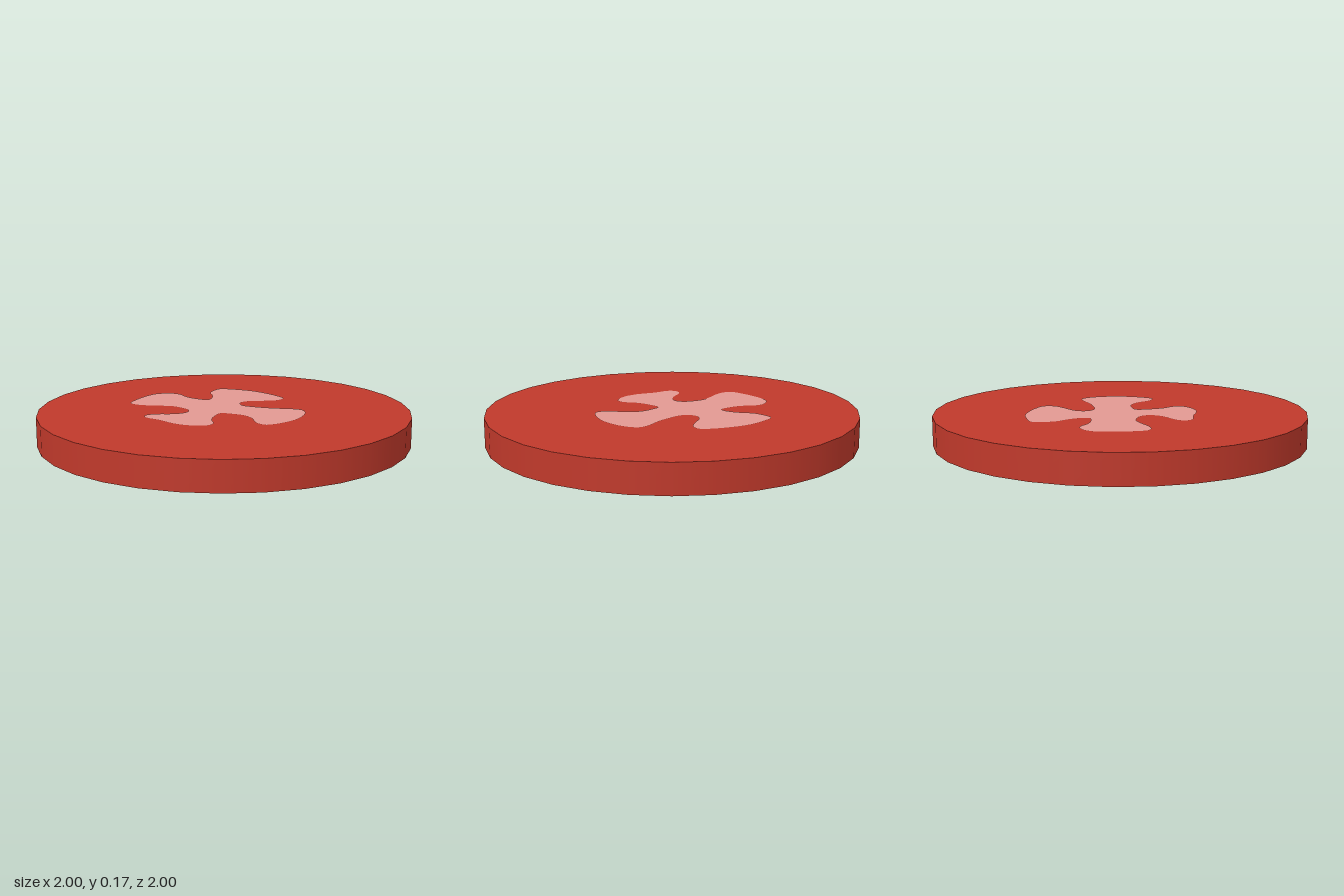
import * as THREE from 'three';

const SIDES = 32, HEIGHT = 0.165, GAP = 0.002;

// Emblem outline as x, z pairs seen from above, one line per arm
const OUTLINE = [
  -0.21, -0.46, -0.19, -0.52, -0.1, -0.53, 0, -0.52, 0.1, -0.48, 0.18, -0.43, 0.235, -0.375, 0.22, -0.32, 0.155, -0.28, 0.06, -0.235, 0.035, -0.18,
  0.065, -0.13, 0.14, -0.115, 0.25, -0.115, 0.34, -0.13, 0.405, -0.12, 0.44, -0.05, 0.435, 0.085, 0.395, 0.18, 0.33, 0.26, 0.295, 0.27, 0.245, 0.235, 0.2, 0.15, 0.14, 0.1, 0.065, 0.085,
  0.01, 0.09, 0, 0.165, 0.01, 0.245, 0.045, 0.32, 0.03, 0.37, -0.06, 0.4, -0.15, 0.385, -0.245, 0.335, -0.34, 0.3, -0.355, 0.25, -0.315, 0.21, -0.22, 0.175, -0.17, 0.12,
  -0.18, 0.07, -0.225, 0.035, -0.29, 0.01, -0.35, 0.015, -0.475, 0.035, -0.54, 0.01, -0.55, -0.05, -0.525, -0.21, -0.49, -0.28, -0.415, -0.315, -0.36, -0.3, -0.3, -0.245, -0.225, -0.215,
  -0.165, -0.21, -0.155, -0.245, -0.17, -0.315, -0.21, -0.395,
];

function emblemGeometry() {
  const points = [];
  for (let i = 0; i < OUTLINE.length; i += 2) {
    points.push(new THREE.Vector3(OUTLINE[i], -OUTLINE[i + 1], 0));
  }
  const curve = new THREE.CatmullRomCurve3(points, true);
  const smooth = curve.getPoints(points.length * 3).slice(0, -1);
  const shape = new THREE.Shape(smooth.map((p) => new THREE.Vector2(p.x, p.y)));
  return new THREE.ShapeGeometry(shape).rotateX(-Math.PI / 2);
}

export function createModel() {
  const group = new THREE.Group();
  const red = new THREE.MeshStandardMaterial({ color: 0xc0392b });
  red.name = 'red';
  const pink = new THREE.MeshStandardMaterial({ color: 0xe29992 });
  pink.name = 'pink';

  // Disc with a flat side facing each axis
  const radius = 1 / Math.cos(Math.PI / SIDES);
  const disc = new THREE.Mesh(
    new THREE.CylinderGeometry(radius, radius, HEIGHT - 2 * GAP, SIDES, 1, false, Math.PI / SIDES),
    red,
  );
  disc.name = 'disc';
  disc.position.y = HEIGHT / 2;
  group.add(disc);

  // Emblem on the top, and turned over onto the underside
  const geometry = emblemGeometry();
  const topEmblem = new THREE.Mesh(geometry, pink);
  topEmblem.name = 'topEmblem';
  topEmblem.position.y = HEIGHT;
  const bottomEmblem = new THREE.Mesh(geometry, pink);
  bottomEmblem.name = 'bottomEmblem';
  bottomEmblem.rotation.z = Math.PI;
  group.add(topEmblem, bottomEmblem);

  return group;
}
